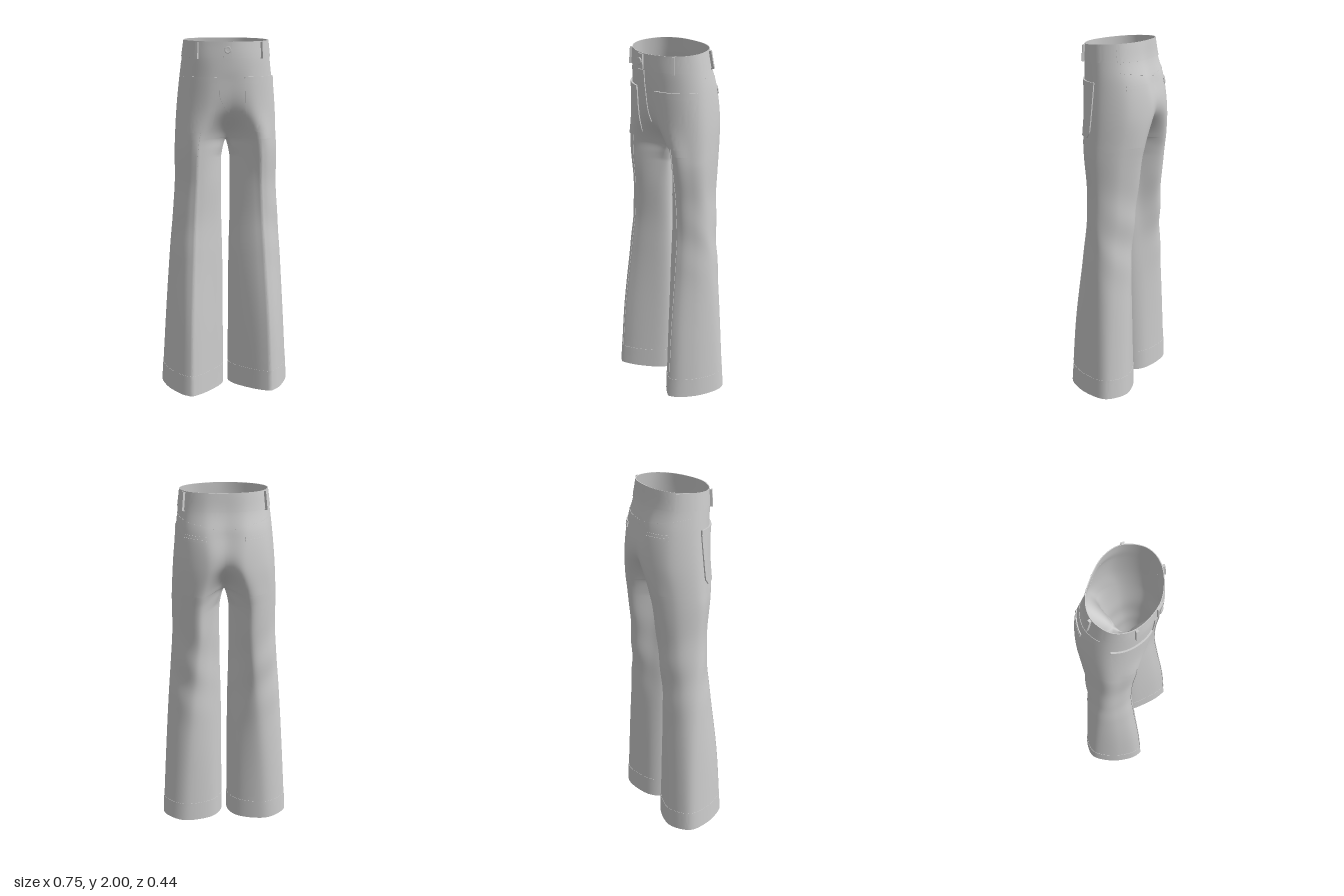
import * as THREE from 'three';
import { mergeGeometries, mergeVertices, toCreasedNormals } from 'three/addons/utils/BufferGeometryUtils.js';

// Fit of one half, from hem to waist:
// y, side x, side z, crease x, front z, inner front z, seat x, back z, inner back z, corner x, inseam x
const FIT = [
  [0.0, 0.372, -0.04, 0.228, 0.211, 0.1, 0.23, -0.155, -0.108, 0.075, 0.016],
  [0.4, 0.348, -0.03, 0.218, 0.185, 0.088, 0.21, -0.147, -0.098, 0.075, 0.016],
  [0.8, 0.32, -0.018, 0.2, 0.14, 0.072, 0.18, -0.142, -0.082, 0.075, 0.019],
  [1.0, 0.303, -0.01, 0.19, 0.12, 0.062, 0.16, -0.148, -0.072, 0.075, 0.024],
  [1.2, 0.288, 0.0, 0.18, 0.12, 0.055, 0.14, -0.165, -0.065, 0.065, 0.026],
  [1.4, 0.286, 0.005, 0.172, 0.138, 0.035, 0.13, -0.185, -0.05, 0.045, 0.024],
  [1.46, 0.283, 0.0, 0.165, 0.143, 0.035, 0.12, -0.195, -0.055, 0.04, 0.02],
  [1.62, 0.272, -0.005, 0.13, 0.157, 0.145, 0.1, -0.217, -0.2, 0.025, 0.02],
  [1.8, 0.253, 0.0, 0.12, 0.165, 0.18, 0.11, -0.187, -0.184, 0.025, 0.02],
  [1.9, 0.24, 0.01, 0.12, 0.165, 0.187, 0.11, -0.152, -0.158, 0.025, 0.02],
  [1.99, 0.228, 0.02, 0.12, 0.158, 0.187, 0.11, -0.135, -0.148, 0.025, 0.02],
];
const CROTCH = 1.46, WAIST = 1.99;
const fit = new THREE.CubicInterpolant(FIT.map((r) => r[0]), FIT.flatMap((r) => r.slice(1)), 10);
const { clamp, lerp } = THREE.MathUtils;

const catmull = (a, b, c, d, t) =>
  0.5 * (2 * b + (c - a) * t + (2 * a - 5 * b + 4 * c - d) * t * t + (3 * b - a - 3 * c + d) * t * t * t);

// Cloth point: s runs 0 centre front, 1 crease, 3 side, 5 seat, 6 centre back, 7 inseam, 8 front again
function cloth(s, y) {
  const [w, zs, cx, zf, zfi, bx, zb, zbi, cornerX, inX] = fit.evaluate(clamp(y, 0, WAIST));
  const open = Math.sqrt(clamp((CROTCH - y) / 0.1, 0, 1));
  if (open > 0) s = ((s % 8) + 8) % 8 || (s > 4 ? 8 : 0);
  else s = clamp(s, 0, y < CROTCH + 1e-9 ? 8 : 6);
  const p = [
    [cornerX * open, zfi], [cx, zf],
    [lerp(cx, w, 0.72), lerp(zs, zf, 0.59)], [w, zs], [lerp(bx, w, 0.72), lerp(zs, zb, 0.64)],
    [bx, zb], [cornerX * open, zbi], [inX * open, (zfi + zbi) / 2],
  ];
  const i = Math.min(Math.floor(s), 7), t = s - i;
  const q = [-1, 0, 1, 2].map((k) => p[(i + k + 8) % 8]);
  const blend = (mirror) => [lerp(-mirror[0], p[7][0], open), lerp(mirror[1], p[7][1], open)];
  if (i === 0) q[0] = blend(p[1]);
  if (i === 5) q[3] = blend(p[5]);
  if (i === 6) q[0] = [p[5][0] * open, p[5][1]];
  if (i === 7) q[3] = [p[1][0] * open, p[1][1]];
  let x = catmull(q[0][0], q[1][0], q[2][0], q[3][0], t);
  let z = catmull(q[0][1], q[1][1], q[2][1], q[3][1], t);
  x = Math.max(x, 0.01 * open);
  // pressed crease and soft folds round the knee
  z += 0.006 * Math.max(0, 1 - Math.abs(s - 1) * 6) * clamp((1.48 - y) / 0.1, 0, 1);
  z += 0.005 * Math.sin(y * 22 + s * 1.5) * Math.exp(-(((y - 0.98) / 0.22) ** 2)) * Math.sin((Math.PI * s) / 8) ** 2;
  // sagging crotch seam, raised outer hem, waist dipping at the front
  let h = y;
  if (s > 6) h -= 0.015 * Math.sin((Math.PI * (s - 6)) / 2) * clamp((y - 1.2) / (CROTCH - 1.2), 0, 1);
  h += 0.05 * Math.max(0, x - 0.05) * clamp(1 - y / 0.3, 0, 1);
  h -= 0.06 * z * clamp((y - 1.85) / 0.14, 0, 1);
  return new THREE.Vector3(x, h, z);
}

// Cloth point lifted outward by d
function lifted(s, y, d) {
  const yc = Math.min(y, WAIST - 0.01);
  const ds = cloth(s + 0.03, yc).sub(cloth(s - 0.03, yc));
  const dy = cloth(s, yc + 0.008).sub(cloth(s, yc - 0.008));
  return cloth(s, y).addScaledVector(ds.cross(dy).normalize(), d);
}

// Quad grid over point(i, j); side -1 mirrors it
function grid(nu, nv, side, point) {
  const pos = [], idx = [], n = nu + 1;
  for (let j = 0; j <= nv; j++)
    for (let i = 0; i <= nu; i++) {
      const v = point(i, j);
      pos.push(v.x * side, v.y, v.z);
      if (i === nu || j === nv) continue;
      const a = j * n + i, b = a + 1, c = b + n, d = a + n;
      if (side > 0) idx.push(a, b, c, a, c, d);
      else idx.push(a, c, b, a, d, c);
    }
  const g = new THREE.BufferGeometry();
  g.setAttribute('position', new THREE.Float32BufferAttribute(pos, 3));
  g.setIndex(idx);
  return g;
}

// Raised panel sewn on the cloth; shape(u, v) gives its [s, y] outline
function panel(side, d, nu, nv, shape) {
  const g = grid(nu + 2, nv + 2, side, (i, j) => {
    const u = clamp((i - 1) / nu, 0, 1), v = clamp((j - 1) / nv, 0, 1);
    const edge = i === 0 || j === 0 || i === nu + 2 || j === nv + 2;
    return lifted(...shape(u, v), edge ? 0 : d);
  });
  return toCreasedNormals(g, Math.PI / 4);
}
const rect = (s0, s1, y0, y1) => (u, v) => [lerp(s0, s1, u), lerp(y0, y1, v)];

export function createModel() {
  const group = new THREE.Group();
  const mat = new THREE.MeshStandardMaterial({ color: 0xcccccc, side: THREE.DoubleSide });
  const add = (name, geometry) => {
    const m = new THREE.Mesh(geometry, mat);
    m.name = name;
    group.add(m);
    return m;
  };

  // Hips and both flared legs as one smooth cloth
  const sheets = [];
  for (const side of [1, -1]) {
    sheets.push(grid(60, 28, side, (i, j) => cloth(i / 10, lerp(CROTCH, WAIST, j / 28))));
    sheets.push(grid(84, 80, side, (i, j) => {
      const s = i <= 60 ? i / 10 : 6 + (i - 60) / 12;
      return cloth(s, CROTCH * (1 - (1 - j / 80) ** 1.6));
    }));
  }
  const body = mergeVertices(mergeGeometries(sheets), 1e-5);
  body.computeVertexNormals();
  add('trouserBody', body);

  for (const side of [1, -1]) {
    const hand = side > 0 ? 'left' : 'right';
    add(hand + 'Waistband', panel(side, 0.004, 60, 6, rect(0, 6, 1.9, WAIST)));
    add(hand + 'HemBand', panel(side, 0.0015, 80, 4, rect(0, 8, 0, 0.12)));
    add(hand + 'CreaseSeam', panel(side, 0.003, 2, 60, rect(0.98, 1.02, 0.12, 1.5)));

    // Patch pocket: slanted inner edge and cut lower corners
    add(hand + 'FrontPocket', panel(side, 0.007, 24, 20, (u, v) => {
      const corner = 0.03 * clamp((Math.abs(u - 0.5) - 0.32) / 0.18, 0, 1);
      return [lerp(lerp(0.64, 0.6, v), lerp(2.35, 2.65, v ** 0.7), u), lerp(1.5 + corner, 1.795, v)];
    }));
    add(hand + 'PocketHem', panel(side, 0.009, 24, 2, rect(0.61, 2.63, 1.765, 1.797)));

    // Back yoke seam dipping to the centre, and a welt pocket with two lips
    add(hand + 'YokeSeam', panel(side, 0.002, 30, 1, (u, v) => [lerp(3.2, 6, u), 1.86 - 0.045 * u + 0.005 * v]));
    for (const y of [1.757, 1.773])
      add(hand + 'BackWelt', panel(side, 0.005, 14, 1, rect(4.05, 5.1, y, y + 0.013)));

    // Belt loops
    for (const s of [1.55, 3.9])
      add(hand + 'BeltLoop', panel(side, 0.017, 2, 6, rect(s - 0.07, s + 0.07, 1.893, 1.985)));
  }

  // Fly facing with a curved lower end, and the waistband overlap
  add('fly', panel(-1, 0.005, 8, 20, (u, v) =>
    [u * 0.48 * Math.sqrt(clamp(v / 0.3, 0.02, 1)), lerp(1.61, 1.895, v)]));
  add('waistOverlap', panel(-1, 0.012, 6, 4, rect(0, 0.35, 1.902, 1.986)));

  // Button
  const profile = [[0, 0], [0.018, 0], [0.018, 0.007], [0.014, 0.009], [0.011, 0.006], [0, 0.007]];
  const button = add('button', new THREE.LatheGeometry(profile.map(([x, y]) => new THREE.Vector2(x, y)), 24));
  button.rotation.x = Math.PI / 2;
  button.position.copy(lifted(0.17, 1.945, 0.011));
  button.position.x *= -1;

  return group;
}
